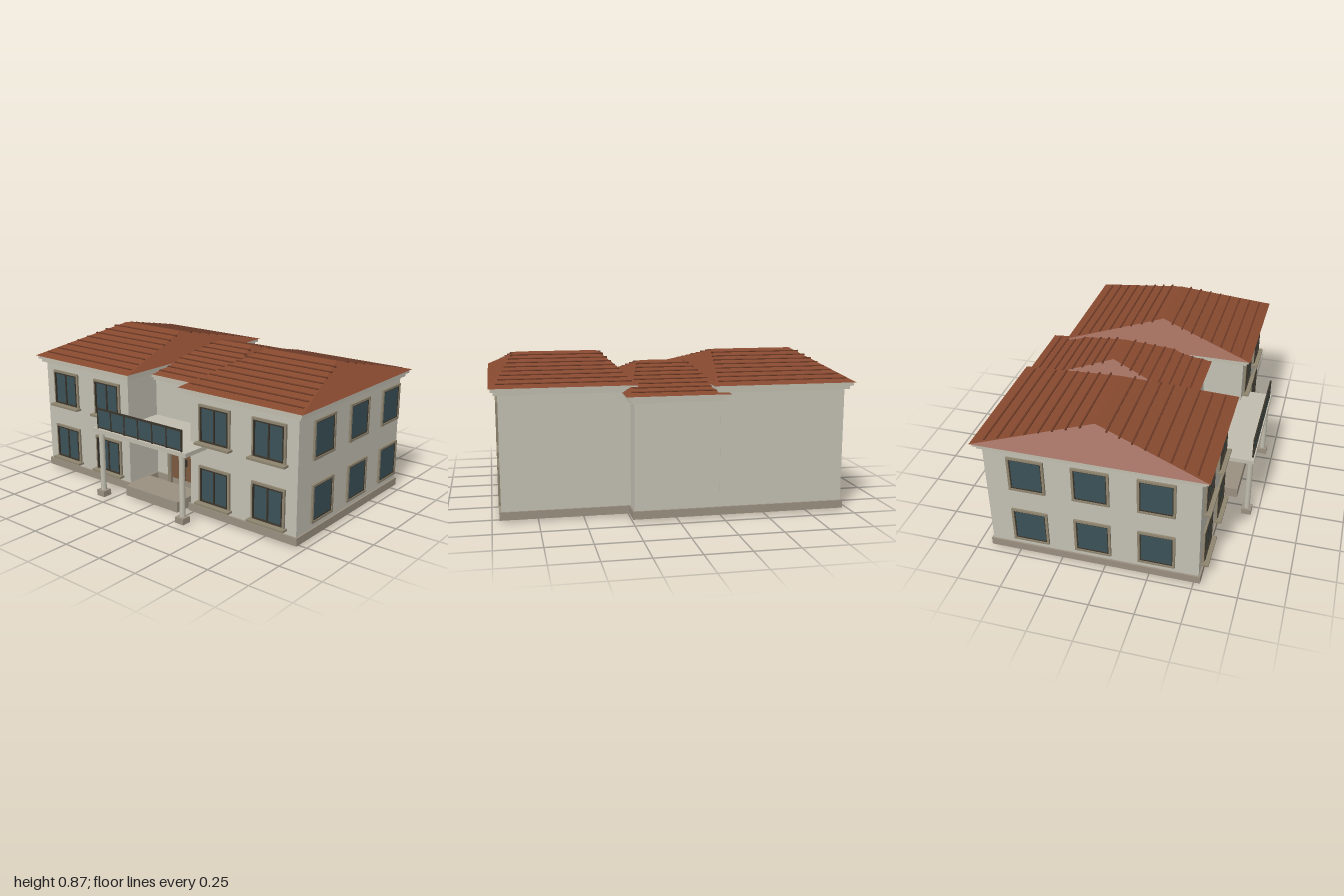
import * as THREE from 'three';

const mat = (color, extra = {}) => new THREE.MeshStandardMaterial({ color, ...extra });
const M = {
  wall: mat(0xc3c0b4), plinth: mat(0x9a9080), trim: mat(0xc0bcae), frame: mat(0x8f8570),
  dark: mat(0x3a342a), glass: mat(0x3b5157), roof: mat(0x87492f, { flatShading: true }),
  slat: mat(0x6b3925), door: mat(0x7c5a3e),
};

// Box given by its limits on each axis
function box(parent, name, material, x0, x1, y0, y1, z0, z1) {
  const mesh = new THREE.Mesh(new THREE.BoxGeometry(x1 - x0, y1 - y0, z1 - z0), material);
  mesh.position.set((x0 + x1) / 2, (y0 + y1) / 2, (z0 + z1) / 2);
  mesh.name = name;
  parent.add(mesh);
  return mesh;
}

function group(parent, name) {
  const g = new THREE.Group();
  g.name = name;
  parent.add(g);
  return g;
}

// Hipped roof with tile courses on the front and back slopes
function hipRoof(parent, x0, x1, z0, z1, ridge, y, height) {
  const g = group(parent, 'roof');
  const zm = (z0 + z1) / 2, cx = (x0 + x1) / 2, top = y + height;
  const geo = new THREE.BufferGeometry();
  geo.setAttribute('position', new THREE.Float32BufferAttribute([
    x0, y, z1, x1, y, z1, x1, y, z0, x0, y, z0, cx - ridge, top, zm, cx + ridge, top, zm], 3));
  geo.setIndex([0, 1, 5, 0, 5, 4, 1, 2, 5, 2, 3, 4, 2, 4, 5, 3, 0, 4, 0, 3, 2, 0, 2, 1]);
  const flat = geo.toNonIndexed();
  flat.computeVertexNormals();
  const hip = new THREE.Mesh(flat, M.roof);
  hip.name = 'hipRoof';
  g.add(hip);

  const halfDepth = (z1 - z0) / 2, halfWidth = (x1 - x0) / 2;
  for (const side of [1, -1]) {
    for (let k = 1; k <= 8; k++) {
      const t = k / 9;
      const half = ridge + 0.022 + (halfWidth - ridge - 0.045) * t;
      const slat = box(g, 'tileCourse', M.slat, -half, half, -0.004, 0.004, -0.005, 0.005);
      slat.position.set(cx, top - height * t, zm + side * halfDepth * t);
      slat.rotation.x = side * Math.atan2(height, halfDepth);
    }
  }
}

// One block of the house: plinth, walls, stepped cornice and roof
function block(parent, name, x0, x1, z0, z1, wallTop, ridge) {
  const g = group(parent, name);
  const layer = (part, m, o, y0, y1) => box(g, part, m, x0 - o, x1 + o, y0, y1, z0 - o, z1 + o);
  layer('plinth', M.plinth, 0.01, 0.01, 0.055);
  layer('walls', M.wall, 0, 0.05, wallTop);
  layer('lowerCornice', M.trim, 0.022, wallTop - 0.005, wallTop + 0.015);
  layer('upperCornice', M.trim, 0.037, wallTop + 0.015, wallTop + 0.036);
  hipRoof(g, x0 - 0.048, x1 + 0.048, z0 - 0.048, z1 + 0.048, ridge, wallTop + 0.035, 0.135);
}

// Window facing +z, standing on the origin
function makeWindow(w, h, front) {
  const g = new THREE.Group();
  g.name = front ? 'frontWindow' : 'sideWindow';
  const ring = (name, m, o, t, d) => {
    const a = w / 2 - o;
    box(g, name, m, -a, -a + t, o, h - o, 0, d);
    box(g, name, m, a - t, a, o, h - o, 0, d);
    box(g, name, m, -a + t, a - t, o, o + t, 0, d);
    box(g, name, m, -a + t, a - t, h - o - t, h - o, 0, d);
  };
  ring('windowSurround', M.frame, 0, 0.013, 0.012);
  ring('windowFrame', M.dark, 0.013, 0.006, front ? 0.016 : 0.008);
  box(g, 'glass', M.glass, -w / 2 + 0.015, w / 2 - 0.015, 0.015, h - 0.015, 0, 0.005);
  if (front) {
    box(g, 'mullion', M.dark, -0.004, 0.004, 0.018, h - 0.018, 0, 0.012);
    box(g, 'sill', M.frame, -w / 2 - 0.012, w / 2 + 0.012, -0.006, 0.007, 0, 0.04);
  }
  return g;
}

export function createModel() {
  const house = new THREE.Group();
  house.name = 'house';

  block(house, 'rightWing', -0.95, -0.24, -0.66, 0.527, 0.7, 0.238);
  block(house, 'leftWing', 0.238, 0.95, -0.54, 0.527, 0.7, 0.236);
  block(house, 'centralBlock', -0.239, 0.237, -0.661, 0.287, 0.655, 0.12);

  // Windows on two floors
  const windows = group(house, 'windows');
  for (const y of [0.08, 0.433]) {
    for (const x of [-0.772, -0.412, 0.412, 0.772]) {
      const w = makeWindow(0.215, 0.222, true);
      w.position.set(x, y, 0.527);
      windows.add(w);
    }
    for (const side of [-1, 1]) for (const z of [0.292, -0.066, -0.424]) {
      const w = makeWindow(0.207, 0.218, false);
      w.position.set(side * 0.95, y + 0.006, z);
      w.rotation.y = side * Math.PI / 2;
      windows.add(w);
    }
  }

  // Entrance with double door
  const entrance = group(house, 'entrance');
  box(entrance, 'step', M.plinth, -0.2, 0.2, 0.01, 0.072, 0.4, 0.605);
  box(entrance, 'lintel', M.frame, -0.135, 0.132, 0.353, 0.376, 0.28, 0.325);
  for (const s of [-1, 1]) {
    box(entrance, 'doorLeaf', M.door, Math.min(0, s * 0.108), Math.max(0, s * 0.108), 0.055, 0.353, 0.28, 0.302);
    box(entrance, 'doorJamb', M.frame, s * 0.12 - 0.012, s * 0.12 + 0.012, 0, 0.353, 0.285, 0.315);
    box(entrance, 'doorHandle', M.dark, s * 0.013 - 0.003, s * 0.013 + 0.003, 0.15, 0.195, 0.302, 0.312);
  }
  box(entrance, 'doorGap', M.dark, -0.0015, 0.0015, 0.055, 0.353, 0.3, 0.303);

  // Balcony over the entrance, carried by two columns
  const balcony = group(house, 'balcony');
  box(balcony, 'balconySlab', M.trim, -0.238, 0.236, 0.402, 0.426, 0.28, 0.53);
  box(balcony, 'balconySlab', M.trim, -0.358, 0.355, 0.402, 0.426, 0.527, 0.706);
  for (const s of [-1, 1]) {
    const column = new THREE.Mesh(new THREE.CylinderGeometry(0.0165, 0.0165, 0.36, 24), M.trim);
    column.name = 'column';
    column.position.set(s * 0.309, 0.222, 0.682);
    balcony.add(column);
    box(balcony, 'columnBase', M.plinth, s * 0.309 - 0.029, s * 0.309 + 0.029, 0.01, 0.045, 0.653, 0.711);
  }

  // Glazed railing in six panels
  const railing = group(balcony, 'railing');
  box(railing, 'topRail', M.dark, -0.325, 0.322, 0.54, 0.55, 0.69, 0.699);
  box(railing, 'bottomRail', M.dark, -0.325, 0.322, 0.43, 0.437, 0.69, 0.699);
  box(railing, 'railingGlass', M.glass, -0.322, 0.32, 0.437, 0.54, 0.693, 0.696);
  for (let i = 0; i <= 6; i++) {
    const x = -0.321 + i * 0.1065;
    box(railing, 'railPost', M.dark, x - 0.004, x + 0.004, 0.424, 0.545, 0.69, 0.699);
  }
  return house;
}
